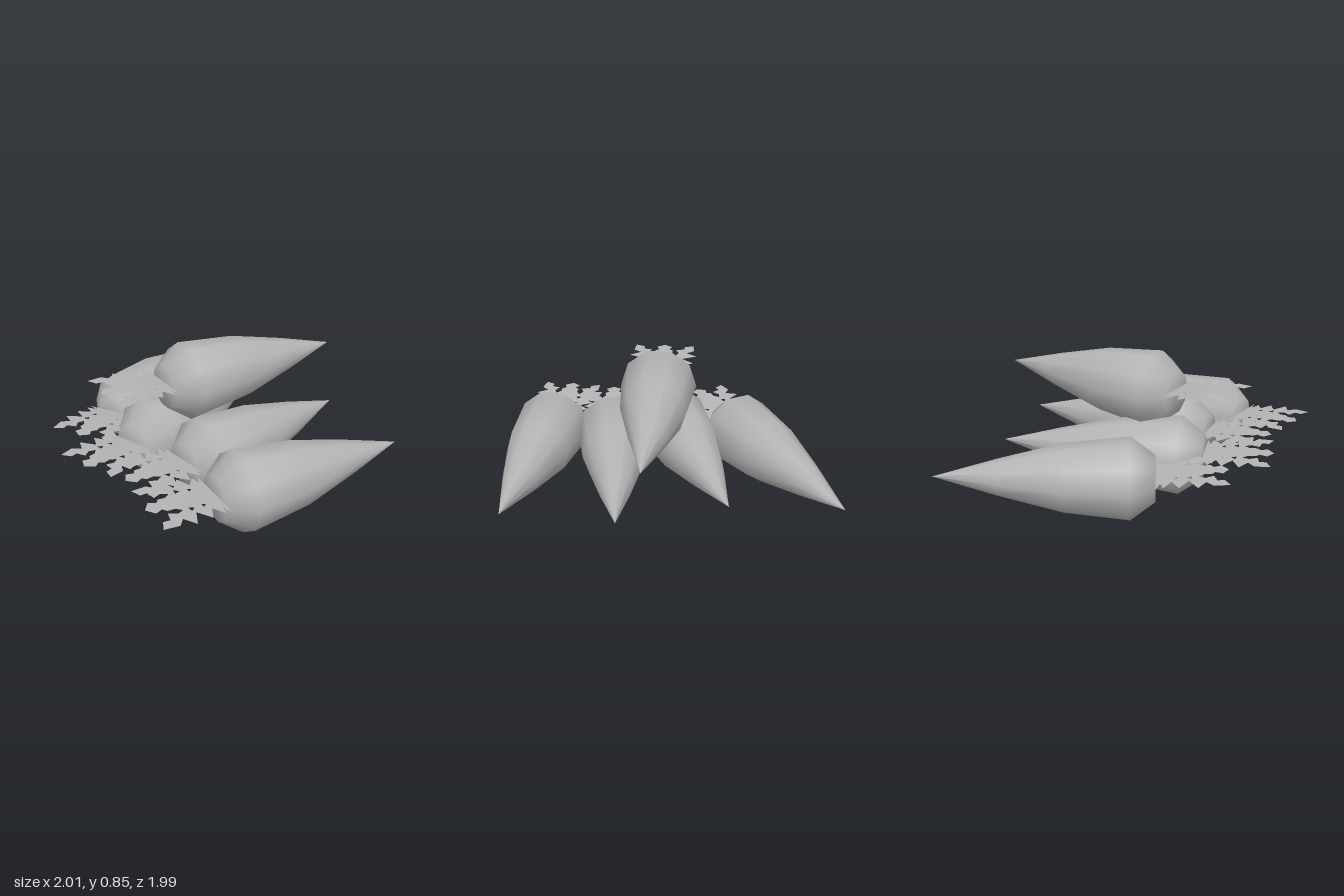
import * as THREE from 'three';

const ROOT_LENGTH = 1.175; // tip to widest ring
const FRONT = 0.148;       // widest ring to the blunt end

// Ten-sided tapering root lying along z, blunt end forward
function rootGeometry() {
  const profile = [
    [0, -ROOT_LENGTH], [0.112, -0.78], [0.207, -0.395], [0.249, 0], [0.14, FRONT], [0, FRONT],
  ].map(([r, y]) => new THREE.Vector2(r, y));
  return new THREE.LatheGeometry(profile, 10, Math.PI / 2).rotateX(Math.PI / 2);
}

// Flat spray of three serrated fronds, mirrored about its middle, curving gently upward
function leafGeometry() {
  const half = [
    [-0.2, 0], [-0.135, 0.025], [-0.2, 0.04], [-0.13, 0.09], [-0.215, 0.13], [-0.135, 0.19],
    [-0.235, 0.235], [-0.163, 0.285], [-0.213, 0.325], [-0.205, 0.42], [-0.142, 0.392],
    [-0.145, 0.35], [-0.085, 0.335], [-0.108, 0.285], [-0.088, 0.245], [-0.06, 0.28],
    [-0.062, 0.325], [-0.035, 0.345], [-0.055, 0.39],
  ];
  const mirror = ([x, y]) => [-x, y];
  const outline = [...half, [0, 0.43], ...half.map(mirror).reverse()];
  const toVectors = (list) => list.map(([x, y]) => new THREE.Vector2(x, y));
  const shape = new THREE.Shape(toVectors(outline));

  // Small gaps between the overlapping fronds
  const gaps = [
    [[-0.115, 0.205], [-0.075, 0.21], [-0.09, 0.175]],
    [[-0.1, 0.125], [-0.07, 0.125], [-0.085, 0.1]],
  ];
  for (const gap of gaps) {
    shape.holes.push(new THREE.Path(toVectors(gap)));
    shape.holes.push(new THREE.Path(toVectors(gap.map(mirror))));
  }

  const geometry = new THREE.ShapeGeometry(shape);
  const pos = geometry.attributes.position;
  for (let i = 0; i < pos.count; i++) {
    const v = pos.getY(i);
    const lift = 0.03 + 0.035 * (1 - (1 - v / 0.43) ** 2);
    pos.setXYZ(i, pos.getX(i), lift, v + FRONT);
  }
  geometry.computeVertexNormals();
  return geometry;
}

export function createModel() {
  const model = new THREE.Group();
  model.name = 'carrotPile';

  const grey = new THREE.MeshStandardMaterial({ color: 0xb4b4b4, side: THREE.DoubleSide });
  grey.name = 'grey';
  const root = rootGeometry();
  const leaf = leafGeometry();

  // Widest-ring centre x, z; tip x, z; axis height
  const carrots = [
    [-0.55, 0.235, -1.0, -0.85, 0.238],
    [-0.11, 0.385, -0.34, -0.77, 0.238],
    [0.30, 0.285, 0.32, -0.89, 0.238],
    [0.72, 0.395, 0.98, -0.76, 0.238],
    [0.0, 0.17, 0.18, -0.99, 0.61],
  ];
  carrots.forEach(([cx, cz, tx, tz, y], i) => {
    const carrot = new THREE.Group();
    carrot.name = `carrot${i + 1}`;
    const body = new THREE.Mesh(root, grey);
    body.name = 'root';
    const leaves = new THREE.Mesh(leaf, grey);
    leaves.name = 'leaves';
    carrot.add(body, leaves);
    carrot.position.set(cx, y, cz);
    carrot.rotation.y = Math.atan2(cx - tx, cz - tz);
    model.add(carrot);
  });

  return model;
}
